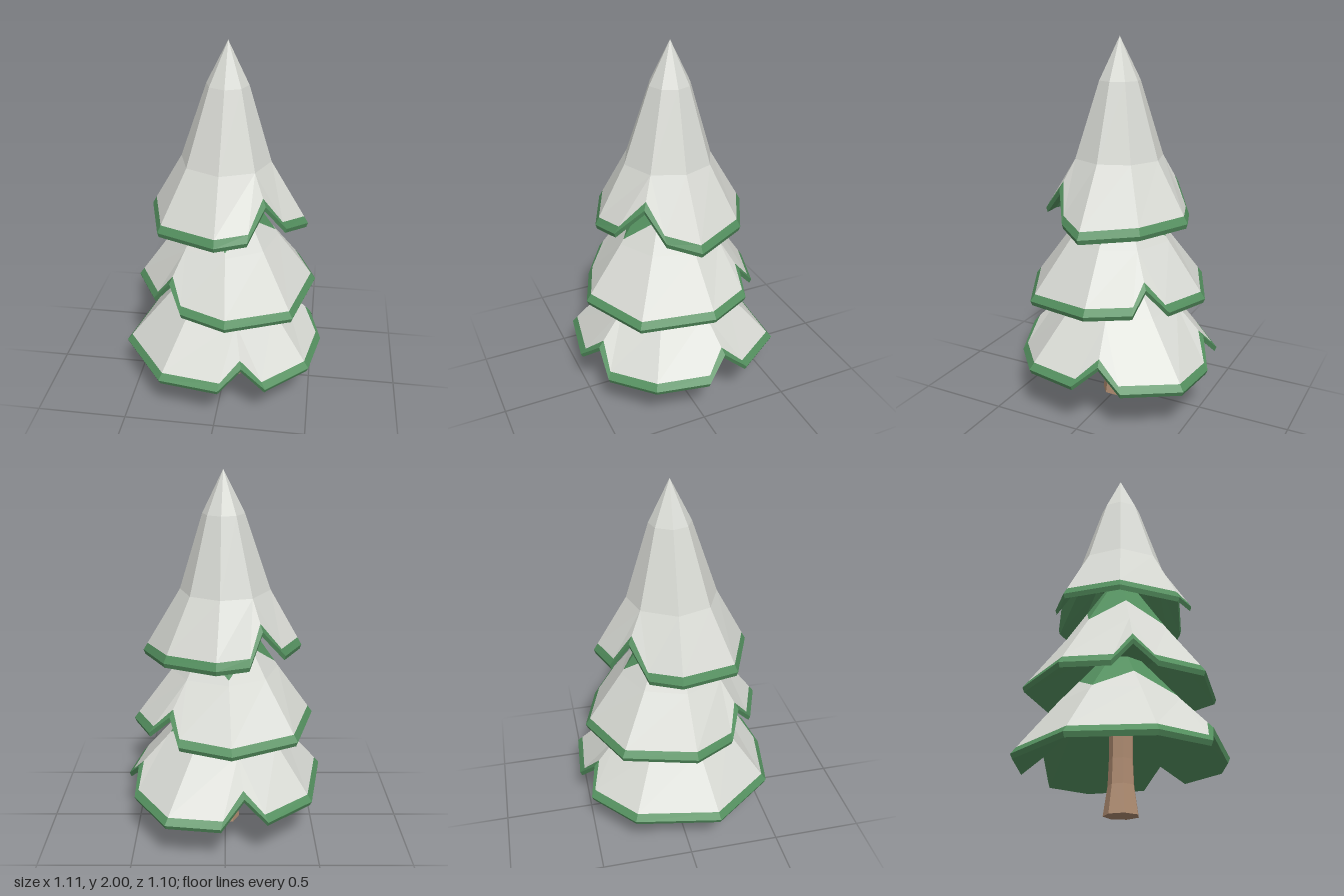
import * as THREE from 'three';

const snow = new THREE.MeshStandardMaterial({ color: 0xd8dad4, flatShading: true });
snow.name = 'snow';
const needles = new THREE.MeshStandardMaterial({ color: 0x54905f, flatShading: true });
needles.name = 'needle green';
const bark = new THREE.MeshStandardMaterial({ color: 0xae8b70, flatShading: true });
bark.name = 'bark brown';

// Rim points run back, left, front, right: [x, y, z, role].
// role 's' marks a point beside a notch; the notch itself is 'n'; others are plain corners.
const tiers = [
  {
    name: 'lowerBranches', kink: [0.33, 0.56], top: [0.12, 0.8], spike: 1,
    rim: [
      [0.022, 0.25, -0.55, 's'], [0.312, 0.26, -0.527], [0.497, 0.27, -0.258, 's'],
      [0.485, 0.385, -0.124, 'n'], [0.554, 0.28, -0.004, 's'], [0.497, 0.28, 0.285],
      [0.276, 0.26, 0.473, 's'], [0.145, 0.385, 0.475, 'n'], [0.028, 0.28, 0.548, 's'],
      [-0.3, 0.27, 0.488], [-0.557, 0.27, 0.148], [-0.47, 0.27, -0.306],
      [-0.225, 0.27, -0.512, 's'], [-0.1, 0.385, -0.475, 'n'],
    ],
  },
  {
    name: 'middleBranches', kink: [0.29, 0.94], top: [0.08, 1.25], spike: 0,
    rim: [
      [-0.034, 0.64, -0.5], [0.24, 0.65, -0.41, 's'], [0.29, 0.77, -0.3, 'n'],
      [0.404, 0.67, -0.28, 's'], [0.503, 0.655, -0.052], [0.398, 0.63, 0.33],
      [0.061, 0.65, 0.503], [-0.187, 0.655, 0.407, 's'], [-0.26, 0.775, 0.31, 'n'],
      [-0.36, 0.645, 0.255, 's'], [-0.49, 0.655, 0.031], [-0.378, 0.65, -0.35],
    ],
  },
  {
    name: 'topBranches', kink: [0.24, 1.38], top: [0.11, 1.78], apex: [0.01, 2, -0.01],
    rim: [
      [0.046, 1.07, -0.42], [0.315, 1.06, -0.276], [0.446, 1.035, 0.007],
      [0.34, 1.07, 0.157, 's'], [0.234, 1.225, 0.231, 'n'], [0.157, 1.085, 0.366, 's'],
      [-0.007, 1.065, 0.41], [-0.32, 1.06, 0.276], [-0.41, 1.08, -0.034],
      [-0.315, 1.07, -0.19, 's'], [-0.19, 1.225, -0.267, 'n'], [-0.124, 1.07, -0.36, 's'],
    ],
  },
];

// Skin between consecutive rings, skipping collapsed triangles
function skin(name, material, ...rings) {
  const pos = [];
  const tri = (a, b, c) => {
    const area = b.clone().sub(a).cross(c.clone().sub(a)).length();
    if (area > 1e-7) pos.push(...a.toArray(), ...b.toArray(), ...c.toArray());
  };
  for (let r = 0; r + 1 < rings.length; r++) {
    const lo = rings[r], hi = rings[r + 1];
    for (let i = 0; i < lo.length; i++) {
      const j = (i + 1) % lo.length;
      tri(lo[j], lo[i], hi[i]);
      tri(lo[j], hi[i], hi[j]);
    }
  }
  const geo = new THREE.BufferGeometry();
  geo.setAttribute('position', new THREE.Float32BufferAttribute(pos, 3));
  geo.computeVertexNormals();
  const mesh = new THREE.Mesh(geo, material);
  mesh.name = name;
  return mesh;
}

function makeTier({ name, kink, top, apex, spike, rim }) {
  const group = new THREE.Group();
  group.name = name;
  const n = rim.length;
  const outer = rim.map(([x, y, z]) => new THREE.Vector3(x, y, z));

  // Points beside a notch share the fold line of that notch
  const fold = rim.map((p, i) => {
    if (p[3] !== 's') return i;
    return rim[(i + 1) % n][3] === 'n' ? (i + 1) % n : (i - 1 + n) % n;
  });
  const folds = [...new Set(fold)].sort((a, b) => a - b);
  const ringAt = ([r, y], cx = 0, cz = 0) => fold.map((f) => {
    const a = Math.atan2(outer[f].z, outer[f].x);
    return new THREE.Vector3(cx + r * Math.cos(a), y, cz + r * Math.sin(a));
  });
  const point = (x, y, z) => outer.map(() => new THREE.Vector3(x, y, z));

  const shoulder = ringAt(kink);
  const crown = ringAt(top, apex ? 0.008 : 0, apex ? -0.008 : 0);
  const snowEdge = outer.map((p, i) => p.clone().lerp(shoulder[i], 0.045 / p.distanceTo(shoulder[i])));
  const lip = outer.map((p) => new THREE.Vector3(p.x * 0.98, p.y - 0.025, p.z * 0.98));

  if (apex) {
    group.add(skin('snowCap', snow, snowEdge, shoulder, crown, point(...apex)));
  } else {
    // Bare needles reach down in points below the tier above
    const bare = shoulder.map((p, i) =>
      p.clone().lerp(crown[i], folds.indexOf(fold[i]) % 2 === spike ? 0.08 : 0.5));
    group.add(skin('snowCover', snow, snowEdge, shoulder, bare));
    group.add(skin('bareNeedles', needles, bare, crown, point(0, top[1] + 0.03, 0)));
  }
  // Rim band, its thickness and the hollow underside
  const hollow = ringAt([kink[0] * 0.88, kink[1] - 0.06]);
  group.add(skin('needleRim', needles, lip, outer, snowEdge));
  group.add(skin('underside', needles, point(0, kink[1] + 0.08, 0), hollow, lip));
  return group;
}

export function createModel() {
  const model = new THREE.Group();
  model.name = 'snowyTree';
  for (const tier of tiers) model.add(makeTier(tier));

  // Trunk with a flared foot
  const profile = [[0, 0], [0.093, 0], [0.07, 0.15], [0.064, 0.28], [0.064, 0.62]]
    .map(([r, y]) => new THREE.Vector2(r, y));
  const trunk = new THREE.Mesh(new THREE.LatheGeometry(profile, 7, 0.2), bark);
  trunk.name = 'trunk';
  trunk.position.set(0.01, 0, -0.005);
  model.add(trunk);
  return model;
}
